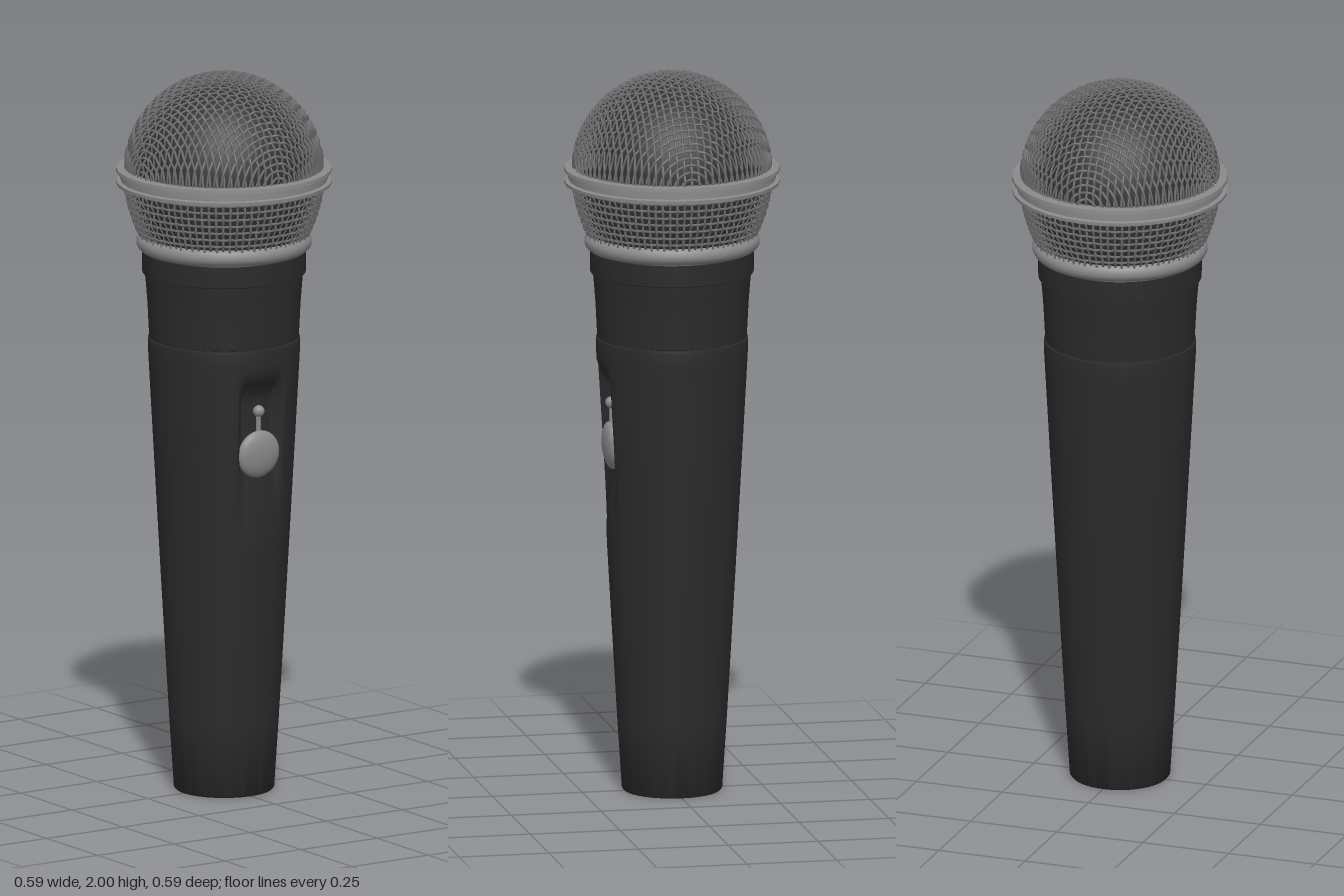
import * as THREE from 'three';
import { mergeGeometries, toCreasedNormals } from 'three/addons/utils/BufferGeometryUtils.js';

const mat = (name, color) => {
  const m = new THREE.MeshStandardMaterial({ color });
  m.name = name;
  return m;
};

// Spun profile with sharp edges kept; points run from the bottom up
const lathe = (points, segments = 64, crease = 0.6) => toCreasedNormals(
  new THREE.LatheGeometry(points.map(([r, y]) => new THREE.Vector2(r, y)), segments, Math.PI), crease);

const WIRE = 0.0035, WAVE = 0.0035, SIDES = 4;

// Thin wire swept along at(u), which returns a point and its outward normal
function wire(steps, at) {
  const pos = [], index = [];
  const side = new THREE.Vector3(), tangent = new THREE.Vector3(), v = new THREE.Vector3();
  for (let k = 0; k <= steps; k++) {
    const { p, n } = at(k / steps);
    tangent.copy(at(Math.min(k + 1, steps) / steps).p).sub(at(Math.max(k - 1, 0) / steps).p).normalize();
    side.crossVectors(tangent, n).normalize();
    for (let j = 0; j < SIDES; j++) {
      const a = (j / SIDES) * Math.PI * 2;
      v.copy(p).addScaledVector(n, WIRE * Math.cos(a)).addScaledVector(side, WIRE * Math.sin(a));
      pos.push(v.x, v.y, v.z);
      if (k < steps) {
        const q = k * SIDES + j, r = k * SIDES + (j + 1) % SIDES;
        index.push(q, r, q + SIDES, r, r + SIDES, q + SIDES);
      }
    }
  }
  const g = new THREE.BufferGeometry();
  g.setAttribute('position', new THREE.Float32BufferAttribute(pos, 3));
  g.setIndex(index);
  g.computeVertexNormals();
  return g;
}

// Dome weave: two crossed families of small circles
function domeWeave(radius, centreY) {
  const step = Math.PI / 43, wires = [];
  for (const sign of [1, -1]) {
    for (let i = -20; i <= 20; i++) {
      const a = i * step, c = Math.cos(a);
      const steps = Math.max(8, Math.round(Math.PI * radius * c / 0.0075));
      wires.push(wire(steps, u => {
        const t = u * Math.PI, s = Math.sin(a), w = c * Math.cos(t), y = c * Math.sin(t);
        const n = sign > 0 ? new THREE.Vector3(s, y, w) : new THREE.Vector3(-w, y, s);
        const lift = sign * WAVE * Math.cos(Math.PI * (Math.asin(sign > 0 ? w : -w) / step + i));
        const p = n.clone().multiplyScalar(radius + lift);
        p.y += centreY;
        return { p, n };
      }));
    }
  }
  return mergeGeometries(wires);
}

const LOW = 1.545, HIGH = 1.705;
const skirtRadius = y => 0.269 - 0.042 * Math.pow((HIGH - y) / (HIGH - LOW), 1.7);

// Skirt weave: hoops crossed with upright wires
function skirtWeave() {
  const uprights = 84, cells = 8, wires = [];
  const point = (angle, y, lift) => {
    const n = new THREE.Vector3(Math.sin(angle), 0, Math.cos(angle));
    const p = n.clone().multiplyScalar(skirtRadius(y) + lift);
    p.y = y;
    return { p, n };
  };
  for (let i = 0; i <= cells; i++) {
    const y = LOW + (HIGH - LOW) * i / cells;
    wires.push(wire(uprights * 2, u => point(u * Math.PI * 2, y, WAVE * Math.cos(Math.PI * (u * uprights + i)))));
  }
  for (let j = 0; j < uprights; j++) {
    const angle = j / uprights * Math.PI * 2;
    wires.push(wire(cells * 2, u => point(angle, LOW + (HIGH - LOW) * u, -WAVE * Math.cos(Math.PI * (u * cells + j)))));
  }
  return mergeGeometries(wires);
}

// Tapered handle with a hollow foot and a scooped switch recess
function handleGeometry() {
  const profile = [[0, 0.1], [0.115, 0.1], [0.115, 0.004], [0.119, 0], [0.132, 0], [0.137, 0.006]];
  const rAt = y => 0.137 + 0.072 * Math.pow(y / 1.26, 0.95);
  for (const y of [0.2, 0.4, 0.6]) profile.push([rAt(y), y]);
  for (let y = 0.64; y < 1.24; y += 0.02) profile.push([rAt(y), y]);
  profile.push([0.208, 1.255], [0.207, 1.262], [0.198, 1.263]);
  const g = new THREE.LatheGeometry(profile.map(([r, y]) => new THREE.Vector2(r, y)), 128, Math.PI);
  const p = g.attributes.position, smooth = THREE.MathUtils.smoothstep;
  for (let i = 0; i < p.count; i++) {
    const x = Math.abs(p.getX(i)), y = p.getY(i), z = p.getZ(i);
    if (z < 0.1) continue;
    const across = 1 - smooth(x, 0.045, 0.078);
    const along = smooth(y, 0.68, 1.1) * (1 - smooth(y, 1.12, 1.2));
    p.setZ(i, z - 0.04 * across * along);
  }
  return toCreasedNormals(g, 0.7);
}

export function createModel() {
  const model = new THREE.Group();
  model.name = 'microphone';
  const black = mat('matte black', 0x2b2b2b);
  const foam = mat('dark foam', 0x303030);
  const steel = mat('grille steel', 0x727272);
  const silver = mat('satin silver', 0x8a8a8a);

  const add = (name, geometry, material, x = 0, y = 0, z = 0) => {
    const m = new THREE.Mesh(geometry, material);
    m.name = name;
    m.position.set(x, y, z);
    model.add(m);
    return m;
  };

  // Handle and collar
  add('handle', handleGeometry(), black);
  add('collar', lathe([[0.198, 1.263], [0.204, 1.265], [0.206, 1.3], [0.209, 1.36], [0.213, 1.41],
    [0.216, 1.443], [0.223, 1.446], [0.224, 1.505], [0.218, 1.512], [0, 1.512]]), black);

  // Connector inside the foot
  for (let i = 0; i < 3; i++) {
    const a = Math.PI + (i - 1) * Math.PI / 2;
    add('connectorPin', new THREE.CylinderGeometry(0.012, 0.012, 0.075, 12), black,
      Math.sin(a) * 0.055, 0.0625, Math.cos(a) * 0.055);
  }
  add('connectorKey', new THREE.BoxGeometry(0.03, 0.09, 0.016), black, 0, 0.055, 0.108);

  // Switch: round thumb button with a small stem and ball above it
  const button = add('switchButton', new THREE.SphereGeometry(0.066, 32, 20), silver, 0, 0.965, 0.169);
  button.scale.z = 0.36;
  button.rotation.x = 0.06;
  add('switchStem', new THREE.CylinderGeometry(0.007, 0.007, 0.08, 10), silver, 0, 1.045, 0.168);
  add('switchBall', new THREE.SphereGeometry(0.016, 16, 12), silver, 0, 1.085, 0.17);

  // Lower ring under the grille
  add('neckRing', lathe([[0.215, 1.506], [0.226, 1.508], [0.234, 1.514], [0.239, 1.524], [0.239, 1.536],
    [0.234, 1.546], [0.226, 1.552], [0.215, 1.553]]), silver);

  // Grille: dark liner with woven wire over it
  const liner = [];
  for (let i = 0; i <= 8; i++) {
    const y = LOW + (HIGH - LOW) * i / 8;
    liner.push([skirtRadius(y) - 0.007, y]);
  }
  for (let i = 0; i <= 20; i++) {
    const a = i / 20 * Math.PI / 2;
    liner.push([0.261 * Math.cos(a), 1.725 + 0.261 * Math.sin(a)]);
  }
  add('grilleLiner', lathe(liner), foam);
  add('grilleDome', domeWeave(0.268, 1.725), steel);
  add('grilleSkirt', skirtWeave(), steel);

  // Flanged band around the widest part
  add('grilleBand', lathe([[0.262, 1.692], [0.294, 1.692], [0.295, 1.701], [0.283, 1.703], [0.283, 1.724],
    [0.295, 1.726], [0.294, 1.736], [0.262, 1.737]], 32, 0.5), silver);

  return model;
}
